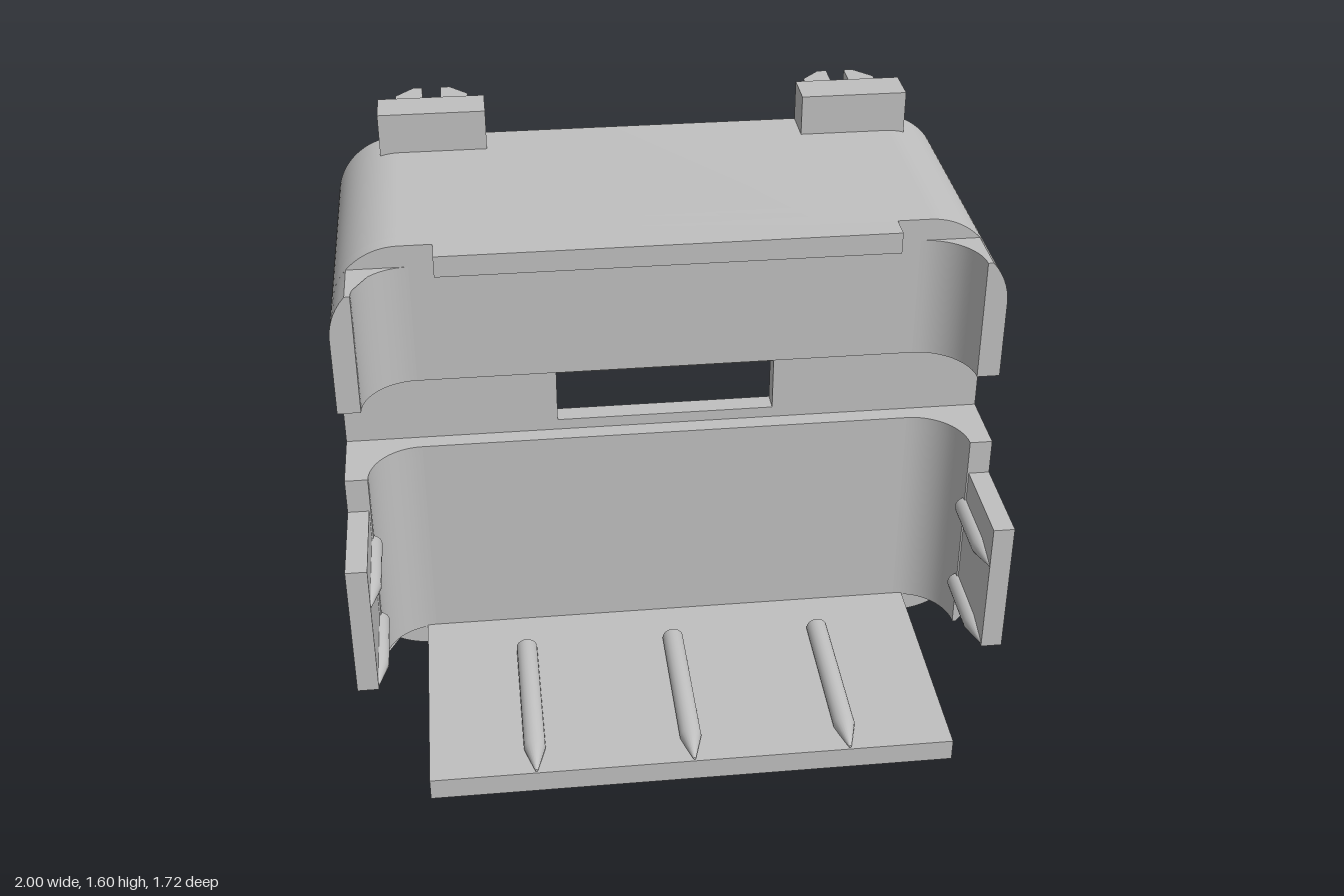
import * as THREE from 'three';
import { toCreasedNormals } from 'three/addons/utils/BufferGeometryUtils.js';

const H = 1.47, R = 0.21, T = 0.065; // shell height, corner radius, wall
const BACK = -0.66, GROOVE = 0.065, FRONT = 0.12;

export function createModel() {
  const model = new THREE.Group();
  const grey = new THREE.MeshStandardMaterial({ color: 0xc0c0c0 });
  grey.name = 'grey plastic';

  function add(name, geo, parent = model) {
    const mesh = new THREE.Mesh(geo, grey);
    mesh.name = name;
    parent.add(mesh);
    return mesh;
  }
  function box(name, x0, x1, y0, y1, z0, z1) {
    const geo = new THREE.BoxGeometry(x1 - x0, y1 - y0, z1 - z0);
    geo.translate((x0 + x1) / 2, (y0 + y1) / 2, (z0 + z1) / 2);
    return add(name, geo);
  }
  function extrude(shape, depth, steps = 1) {
    return new THREE.ExtrudeGeometry(shape, { depth, steps, bevelEnabled: false, curveSegments: 14 });
  }
  const creased = (geo) => toCreasedNormals(geo, 0.5);

  // Outline with rounded lower corners, open or filled up to height h
  function trough(h, hollow) {
    const s = new THREE.Shape();
    s.moveTo(-1, h);
    s.lineTo(-1, R);
    s.absarc(-1 + R, R, R, Math.PI, Math.PI * 1.5);
    s.lineTo(1 - R, 0);
    s.absarc(1 - R, R, R, Math.PI * 1.5, Math.PI * 2);
    s.lineTo(1, h);
    if (hollow) {
      s.lineTo(1 - T, h);
      s.lineTo(1 - T, R);
      s.absarc(1 - R, R, R - T, 0, -Math.PI / 2, true);
      s.lineTo(-1 + R, T);
      s.absarc(-1 + R, R, R - T, -Math.PI / 2, -Math.PI, true);
      s.lineTo(-1 + T, h);
    }
    return s;
  }
  // Upper pieces are lower ones turned half round
  function troughPart(name, h, hollow, z0, z1, upper) {
    const mesh = add(name, creased(extrude(trough(h, hollow), z1 - z0)));
    mesh.position.z = z0;
    if (upper) {
      mesh.rotation.z = Math.PI;
      mesh.position.y = H;
    }
  }

  // Shell: lower and upper channels, joined by posts around the side windows
  troughPart('lowerShell', 0.5, true, BACK, GROOVE, false);
  troughPart('upperShell', H - 0.975, true, BACK, GROOVE, true);
  for (const s of [-1, 1]) {
    const [a, b] = s > 0 ? [1 - T, 1] : [-1, -1 + T];
    box('rearWindowPost', a, b, 0.5, 0.975, BACK, -0.53);
    box('frontWindowPost', a, b, 0.5, 0.975, -0.09, GROOVE);
  }

  // Front wall with the slot, and the raised slabs above and below the groove
  troughPart('lowerFrontWall', 0.805, false, 0, GROOVE, false);
  troughPart('upperFrontWall', H - 0.975, false, 0, GROOVE, true);
  box('slotSideRight', -1, -0.34, 0.805, 0.975, 0, GROOVE);
  box('slotSideLeft', 0.34, 1, 0.805, 0.975, 0, GROOVE);
  troughPart('lowerFrontSlab', 0.77, false, GROOVE, FRONT, false);
  troughPart('upperFrontSlab', H - 1.01, false, GROOVE, FRONT, true);

  // Cradle sides: filleted section run up y, outer edge following the corners
  const outerX = (y) => {
    const d = Math.max(R - y, y - (H - R), 0);
    return 1 - R + Math.sqrt(R * R - d * d);
  };
  function cradle(name, side, y0, y1) {
    const r = 0.165, pts = [[1, FRONT], [1, FRONT + r], [0.93, FRONT + r]];
    for (let i = 1; i <= 12; i++) {
      const a = (i / 12) * Math.PI / 2;
      pts.push([0.93 - r + r * Math.cos(a), FRONT + r - r * Math.sin(a)]);
    }
    const shape = new THREE.Shape(pts.map(([x, z]) => new THREE.Vector2(side * x, z)));
    const geo = extrude(shape, y1 - y0, 20);
    geo.rotateX(Math.PI / 2).translate(0, y1, 0);
    const p = geo.attributes.position;
    for (let i = 0; i < p.count; i++) {
      if (Math.abs(p.getX(i)) > 0.99) p.setX(i, side * outerX(p.getY(i)));
    }
    add(name, creased(geo));
  }

  // Locating pin with a pointed front end
  function pin(name, x, y, z0, z1) {
    const r = 0.033, len = z1 - z0;
    const profile = [[0, 0], [r, 0], [r, len - 0.1], [0.004, len], [0, len]];
    const geo = new THREE.LatheGeometry(profile.map((q) => new THREE.Vector2(...q)), 20);
    geo.rotateX(Math.PI / 2);
    add(name, creased(geo)).position.set(x, y, z0);
  }

  for (const s of [-1, 1]) {
    cradle('lowerCradle', s, T, 0.77);
    cradle('upperCradle', s, 1.01, 1.4);
    const [a, b] = s > 0 ? [0.935, 1] : [-1, -0.935];
    box('sidePanel', a, b, R, 0.655, FRONT, 0.595);
    for (const y of [0.22, 0.52]) pin('sidePin', s * 0.938, y, 0.27, 0.59);
  }

  // Floor plate with pins, and the top lip
  box('floorPlate', -0.793, 0.793, 0, 0.07, FRONT, 0.863);
  for (const x of [-0.475, 0, 0.475]) pin('floorPin', x, 0.077, 0.28, 0.86);
  box('topLip', -0.69, 0.69, 1.403, H, FRONT, 0.2);

  // Snap clips: split, barbed prongs behind blocks on the top edge
  const half = [[0.1, 0], [0.1, 0.105], [0.118, 0.11], [0.118, 0.14], [0.06, 0.202], [0.03, 0.202]];
  const clip = new THREE.Shape();
  half.forEach(([x, d], i) => (i ? clip.lineTo(x, d) : clip.moveTo(x, d)));
  clip.lineTo(0.03, 0.055);
  clip.absarc(0, 0.055, 0.03, 0, -Math.PI, true);
  half.reverse().forEach(([x, d]) => clip.lineTo(-x, d));
  const clipGeo = creased(extrude(clip, 0.135).rotateX(-Math.PI / 2));
  for (const s of [-1, 1]) {
    box('clipBlock', s * 0.68 - 0.17, s * 0.68 + 0.17, 1.385, 1.6, BACK, -0.53);
    add('snapClip', clipGeo).position.set(s * 0.68, 1.415, BACK);
  }

  return model;
}
